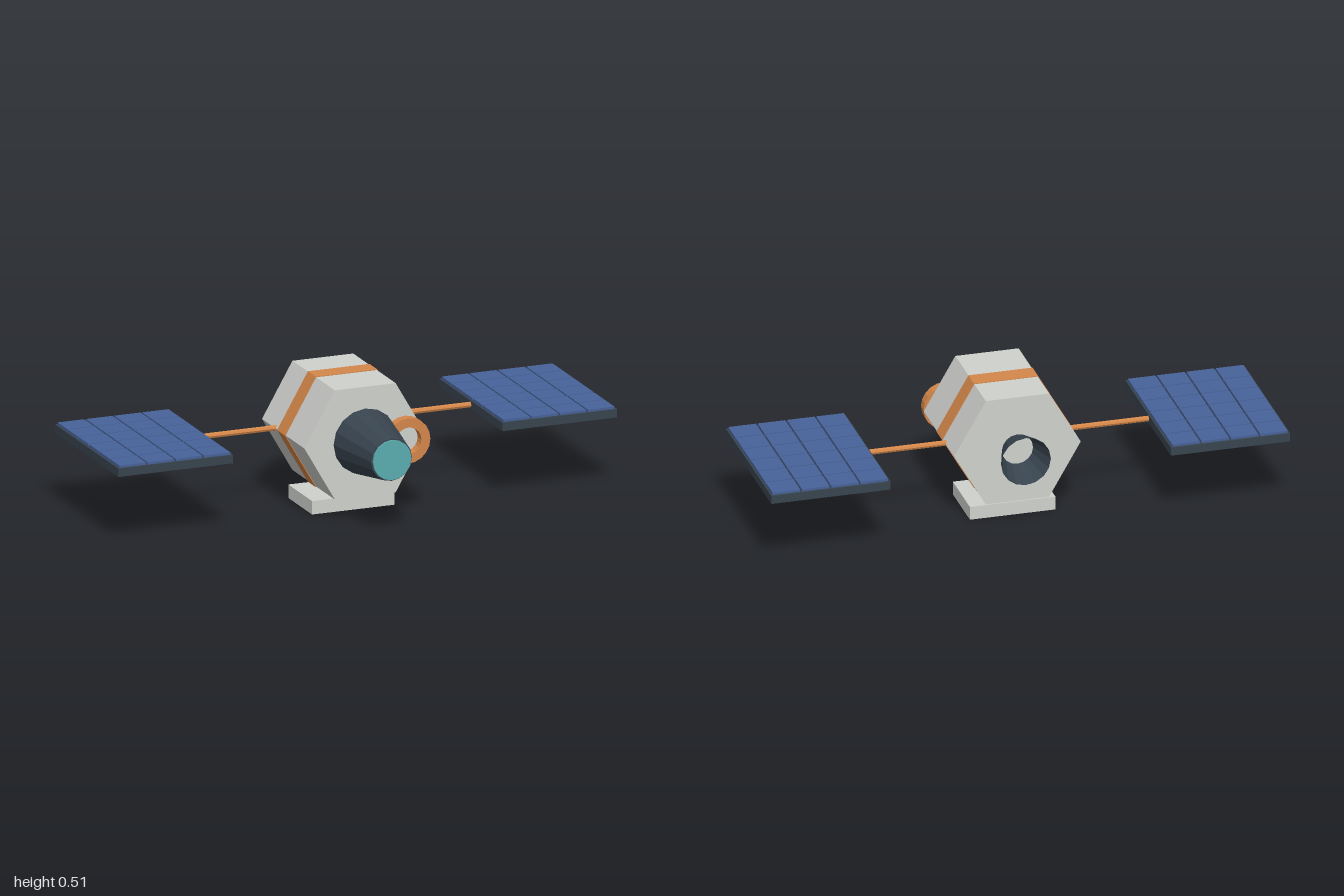
import * as THREE from 'three';

const AXIS_Y = 0.297; // height of the main axis
const PANEL_Z = -0.119; // centre line of the solar wings

function material(name, color, side = THREE.FrontSide) {
  const m = new THREE.MeshStandardMaterial({ color, flatShading: true, side });
  m.name = name;
  return m;
}

export function createModel() {
  const grey = material('hullGrey', 0xd0d2ce);
  const orange = material('copperOrange', 0xd4874a);
  const dark = material('darkSlate', 0x38444f, THREE.DoubleSide);
  const blue = material('cellBlue', 0x48639a);
  const teal = material('lensTeal', 0x5aacb0);

  const model = new THREE.Group();
  model.name = 'satellite';

  function add(parent, name, geometry, mat, x, y, z) {
    const mesh = new THREE.Mesh(geometry, mat);
    mesh.name = name;
    mesh.position.set(x, y, z);
    parent.add(mesh);
    return mesh;
  }

  // Prism or cone along z, from zBack to zFront
  function barrel(name, mat, rFront, rBack, zFront, zBack, sides, open = false) {
    const g = new THREE.CylinderGeometry(rFront, rBack, zFront - zBack, sides, 1, open, Math.PI / 2);
    g.rotateX(Math.PI / 2);
    return add(model, name, g, mat, 0, AXIS_Y, (zFront + zBack) / 2);
  }

  // Hexagonal hull with its band
  barrel('hull', grey, 0.244, 0.244, 0.165, -0.247, 6);
  barrel('hullBand', orange, 0.247, 0.247, -0.017, -0.093, 6);

  // Telescope, lens and rear engine bell
  barrel('telescope', dark, 0.082, 0.127, 0.42, 0.165, 16);
  barrel('lens', teal, 0.077, 0.077, 0.428, 0.41, 16);
  barrel('engineBell', dark, 0.06, 0.096, -0.247, -0.362, 16, true);

  // Docking ring beside the telescope, with a square section
  const section = [[0.052, -0.0185], [0.088, -0.0185], [0.088, 0.0185], [0.052, 0.0185], [0.052, -0.0185]];
  const ring = new THREE.LatheGeometry(section.map(([r, y]) => new THREE.Vector2(r, y)), 20);
  ring.rotateX(Math.PI / 2);
  add(model, 'dockingRing', ring, orange, 0.152, 0.295, 0.198);

  // Flat plate hanging below the hull
  add(model, 'lowerPlate', new THREE.BoxGeometry(0.33, 0.052, 0.231), grey, 0, 0.026, -0.0675);

  // Solar wings: boom, tray and a grid of cells on each side
  const cols = 4, rows = 6, pitchX = 0.113, pitchZ = 0.101;
  const cell = new THREE.BoxGeometry(pitchX - 0.007, 0.0095, pitchZ - 0.006);
  const boom = new THREE.CylinderGeometry(0.011, 0.011, 0.35, 8);
  boom.rotateZ(Math.PI / 2);
  for (const side of [1, -1]) {
    const wing = new THREE.Group();
    wing.name = side > 0 ? 'leftWing' : 'rightWing';
    model.add(wing);
    add(wing, 'boom', boom, orange, side * 0.375, AXIS_Y, -0.123);
    add(wing, 'panelTray', new THREE.BoxGeometry(0.46, 0.032, 0.616), dark, side * 0.77, AXIS_Y, PANEL_Z);
    for (let i = 0; i < cols; i++) {
      for (let j = 0; j < rows; j++) {
        const x = side * 0.77 + (i - (cols - 1) / 2) * pitchX;
        const z = PANEL_Z + (j - (rows - 1) / 2) * pitchZ;
        add(wing, 'solarCell', cell, blue, x, 0.3172, z);
      }
    }
  }
  return model;
}
